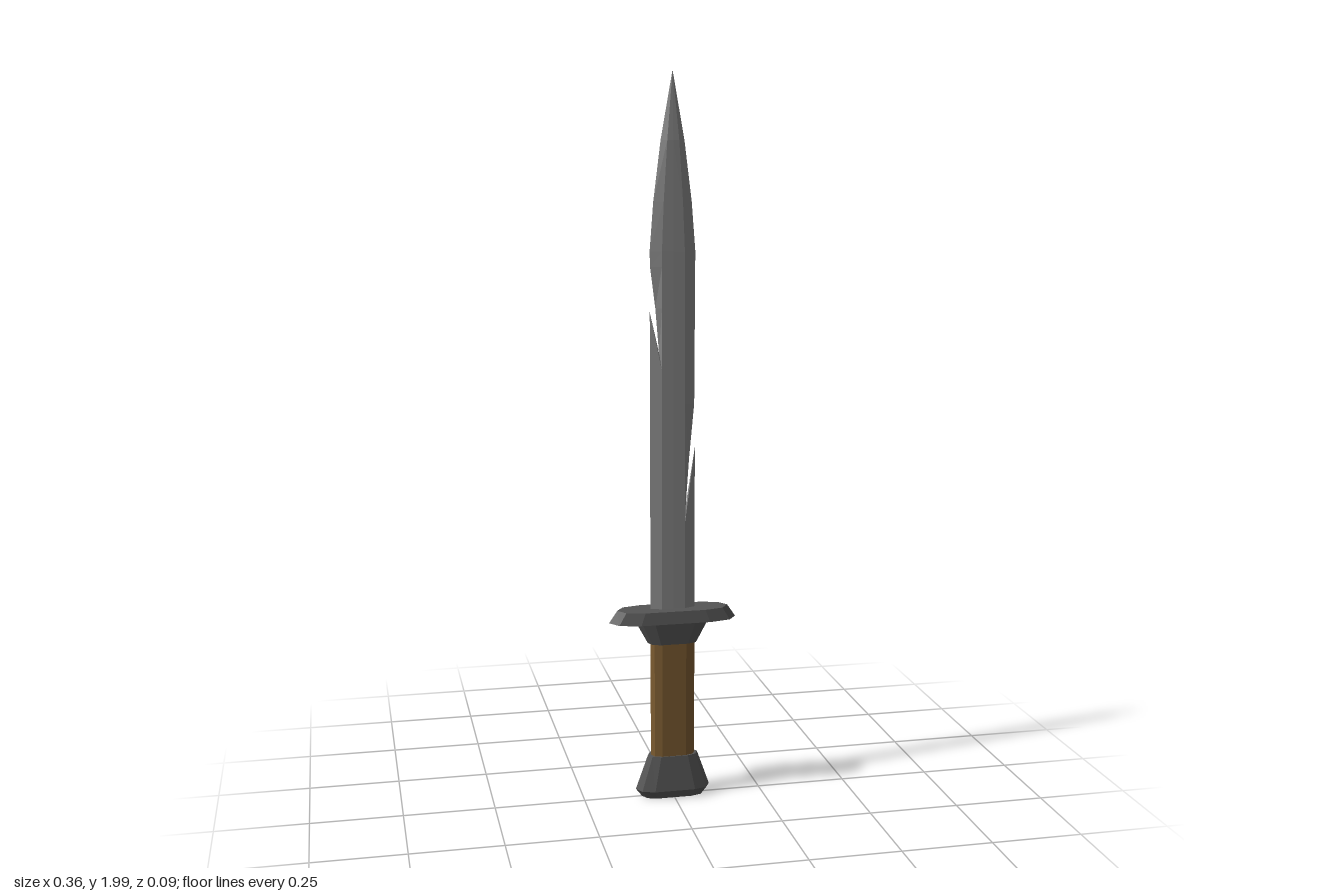
import * as THREE from 'three';

const material = (color) => new THREE.MeshStandardMaterial({ color, flatShading: true });

function meshFrom(name, positions, mat) {
  const geo = new THREE.BufferGeometry();
  geo.setAttribute('position', new THREE.Float32BufferAttribute(positions, 3));
  geo.computeVertexNormals();
  const mesh = new THREE.Mesh(geo, mat);
  mesh.name = name;
  return mesh;
}

// Ten-sided flattened section, as fractions of half width and half depth
const SECTION = [[1, 0], [0.87, 0.7], [0.54, 1], [-0.54, 1], [-0.87, 0.7],
  [-1, 0], [-0.87, -0.7], [-0.54, -1], [0.54, -1], [0.87, -0.7]];

// Loft rings of [height, half width, half depth] from bottom to top, with caps
function loft(name, rings, mat) {
  const out = [];
  const n = SECTION.length;
  const pt = ([y, w, d], i) => [SECTION[i % n][0] * w, y, SECTION[i % n][1] * d];
  const low = rings[0], high = rings[rings.length - 1];
  for (let i = 0; i < n; i++) {
    for (let r = 0; r < rings.length - 1; r++) {
      const a = pt(rings[r], i), b = pt(rings[r], i + 1);
      const c = pt(rings[r + 1], i + 1), d = pt(rings[r + 1], i);
      out.push(...a, ...d, ...c, ...a, ...c, ...b);
    }
    out.push(0, low[0], 0, ...pt(low, i), ...pt(low, i + 1));
    out.push(0, high[0], 0, ...pt(high, i + 1), ...pt(high, i));
  }
  return meshFrom(name, out, mat);
}

// Blade rows: [edge x, edge y, bevel x, bevel y, half thickness]
const BASE = [0.062, 0.52, 0.032, 0.52, 0.012];
const TIP = [
  [0.062, 1.52, 0.031, 1.52, 0.012],
  [0.052, 1.65, 0.026, 1.65, 0.011],
  [0.032, 1.81, 0.016, 1.81, 0.01],
  [0, 1.99, 0, 1.99, 0],
];
const LEFT = [BASE,
  [0.062, 0.99, 0.032, 0.78, 0.012],
  [0.037, 0.83, 0.032, 0.78, 0.012],
  [0.046, 0.96, 0.032, 0.96, 0.012],
  [0.06, 1.11, 0.032, 1.11, 0.012],
  ...TIP];
const RIGHT = [BASE,
  [0.062, 1.36, 0.031, 1.2, 0.012],
  [0.037, 1.25, 0.031, 1.2, 0.012],
  [0.047, 1.37, 0.031, 1.37, 0.012],
  [0.061, 1.48, 0.031, 1.48, 0.012],
  ...TIP];

function blade(mat) {
  const out = [];
  const tri = (a, b, c, face) => {
    const cross = (b[0] - a[0]) * (c[1] - a[1]) - (b[1] - a[1]) * (c[0] - a[0]);
    if (Math.abs(cross) < 1e-9) return;
    out.push(...a, ...(cross * face > 0 ? [...b, ...c] : [...c, ...b]));
  };
  for (const [side, rows] of [[1, LEFT], [-1, RIGHT]]) {
    for (const face of [1, -1]) {
      // Each row runs from the cutting edge over the bevel to the centre line
      const strips = rows.map(([ex, ey, bx, by, t]) => [
        [side * ex, ey, 0], [side * bx, by, face * t], [0, by, face * t * 1.05]]);
      for (let i = 0; i < strips.length - 1; i++) {
        for (let k = 0; k < 2; k++) {
          const a = strips[i], b = strips[i + 1];
          tri(a[k], b[k], b[k + 1], face);
          tri(a[k], b[k + 1], a[k + 1], face);
        }
      }
    }
  }
  return meshFrom('blade', out, mat);
}

export function createModel() {
  const group = new THREE.Group();
  group.name = 'shortSword';
  const darkMetal = material(0x555555);

  group.add(loft('pommel', [
    [0, 0.088, 0.03], [0.022, 0.105, 0.038], [0.12, 0.07, 0.028]], darkMetal));
  group.add(loft('grip', [[0.11, 0.062, 0.025], [0.455, 0.062, 0.025]], material(0x7a5a30)));
  // Flared collar stepping out into the wide cross guard
  group.add(loft('guard', [
    [0.445, 0.07, 0.03], [0.508, 0.104, 0.04],
    [0.508, 0.178, 0.047], [0.542, 0.155, 0.042]], darkMetal));
  group.add(blade(material(0x858585)));
  return group;
}
